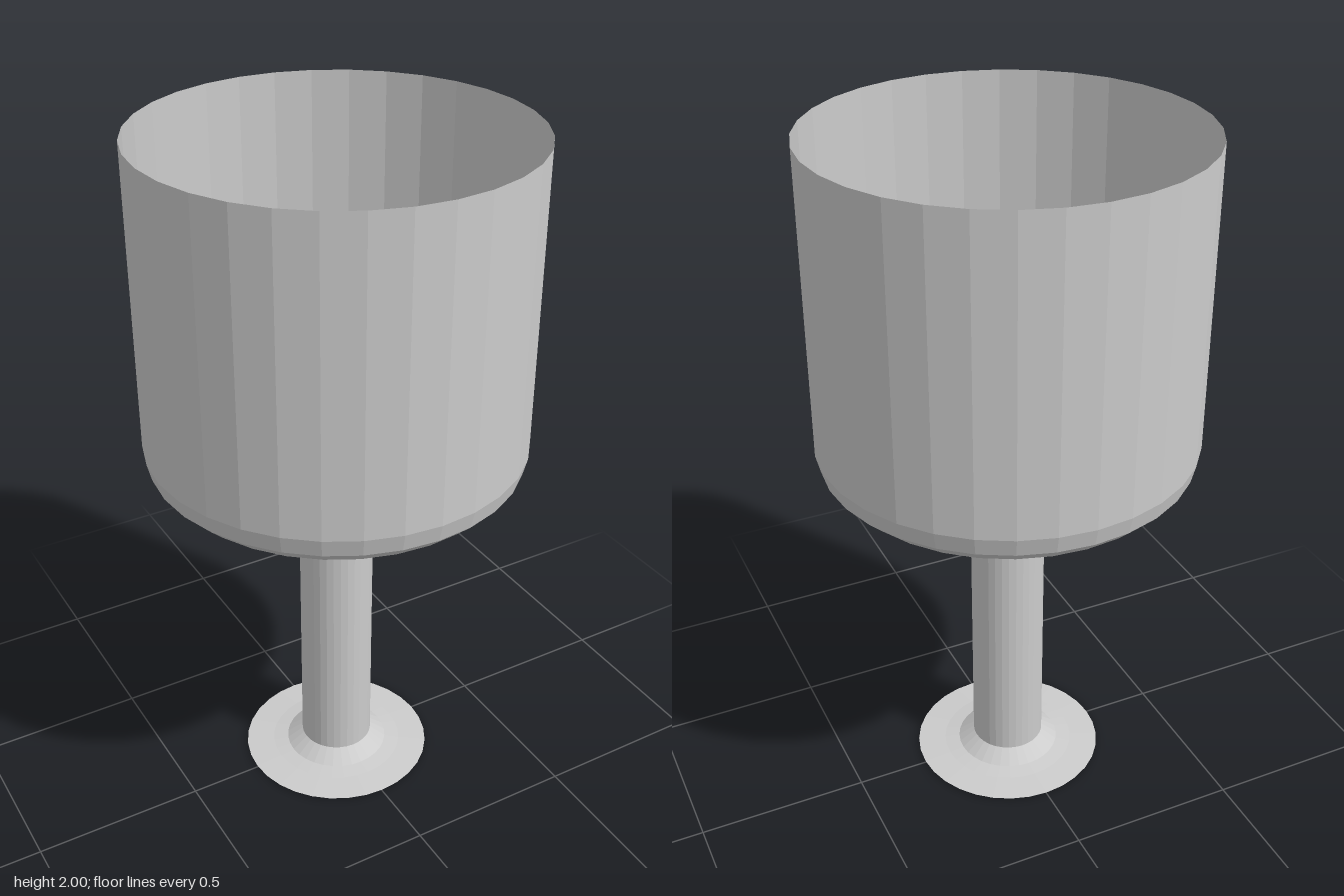
import * as THREE from 'three';

const SIDES = 32;

// Turned part from [radius, height] pairs, listed from the bottom up
function turned(name, profile) {
  const points = profile.map(([r, y]) => new THREE.Vector2(r, y));
  const material = new THREE.MeshStandardMaterial({
    color: 0xcccccc, flatShading: true, side: THREE.DoubleSide,
  });
  const mesh = new THREE.Mesh(new THREE.LatheGeometry(points, SIDES), material);
  mesh.name = name;
  return mesh;
}

export function createModel() {
  const goblet = new THREE.Group();
  goblet.name = 'goblet';

  // Thin open bowl with a rounded lower edge and a slightly raised floor
  goblet.add(turned('bowl', [
    [0, 1.035], [0.385, 1.035], [0.437, 1.024], [0.488, 1.037],
    [0.53, 1.077], [0.543, 1.13], [0.543, 2],
  ]));

  // Straight stem flaring out under the bowl
  goblet.add(turned('stem', [
    [0.108, 0.05], [0.108, 0.78], [0.135, 0.835], [0.205, 1.035],
  ]));

  // Flat, thin foot rising to the stem
  goblet.add(turned('foot', [
    [0, 0], [0.285, 0.004], [0.2, 0.009], [0.155, 0.015], [0.108, 0.05],
  ]));

  return goblet;
}
